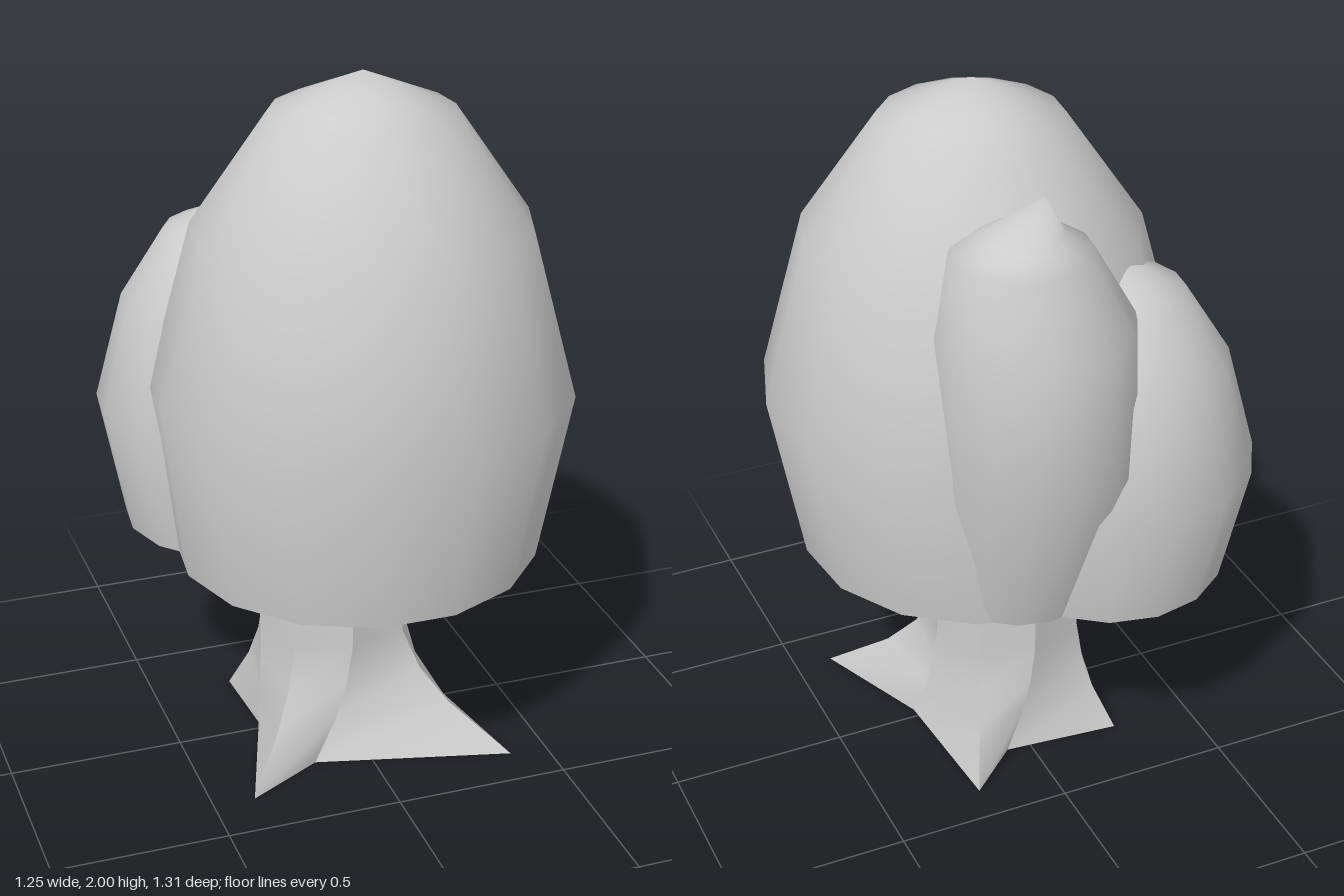
import * as THREE from 'three';
import { mergeVertices } from 'three/addons/utils/BufferGeometryUtils.js';

const SIDES = 15;

// Upright egg with a fixed centre; rings are [y, radius, centreX, centreZ]
const egg = (cx, cz, profile) => profile.map(([y, r]) => [y, r, cx, cz]);

const CLUMPS = {
  mainFoliage: [
    [0.61, 0.515, 0.022, 0.06],
    ...egg(0.035, 0.07, [[1.11, 0.593], [1.58, 0.467], [1.89, 0.255], [2, 0]]),
  ],
  lowerFoliage: [
    [0.61, 0.33, -0.235, -0.25],
    ...egg(-0.245, -0.27, [[0.97, 0.387], [1.28, 0.305], [1.48, 0.18], [1.56, 0]]),
  ],
  // Rear clump leaning outward, with a blunt sloping top
  rearFoliage: [
    [0.61, 0.23, 0.04, -0.25],
    [1.1, 0.287, 0.04, -0.365],
    [1.48, 0.277, 0.04, -0.335],
    [1.69, 0.19, 0.07, -0.33],
    [1.765, 0.1, 0.08, -0.38],
    [1.8, 0, -0.02, -0.28],
  ],
};

// Is point p within the shell described by rings?
function inside(p, rings) {
  for (let i = 0; i < rings.length - 1; i++) {
    const a = rings[i], b = rings[i + 1];
    if (p.y < a[0] - 1e-4 || p.y > b[0]) continue;
    const t = (p.y - a[0]) / (b[0] - a[0]);
    const [, r, cx, cz] = a.map((v, k) => THREE.MathUtils.lerp(v, b[k], t));
    return Math.hypot(p.x - cx, p.z - cz) < r * 0.978;
  }
  return false;
}

// Smooth 15-sided lathe whose rings are shifted to their own centres
function shell(rings) {
  let geo = new THREE.LatheGeometry(rings.map(([y, r]) => new THREE.Vector2(r, y)), SIDES, Math.PI / SIDES);
  const pos = geo.attributes.position;
  for (let i = 0; i < pos.count; i++) {
    const [, , cx, cz] = rings[i % rings.length];
    pos.setX(i, pos.getX(i) + cx);
    pos.setZ(i, pos.getZ(i) + cz);
  }
  geo.deleteAttribute('normal');
  geo.deleteAttribute('uv');
  geo = mergeVertices(geo, 1e-4);
  geo.computeVertexNormals();
  return geo.toNonIndexed();
}

// Open-bottomed clump without the faces hidden inside its neighbours
function foliage(name, material) {
  const others = Object.keys(CLUMPS).filter((k) => k !== name).map((k) => CLUMPS[k]);
  const geo = shell(CLUMPS[name]);
  const points = [], normals = [];
  const corner = (i) => ({
    p: new THREE.Vector3().fromBufferAttribute(geo.attributes.position, i),
    n: new THREE.Vector3().fromBufferAttribute(geo.attributes.normal, i),
  });
  const middle = (a, b) => ({ p: a.p.clone().lerp(b.p, 0.5), n: a.n.clone().lerp(b.n, 0.5) });

  // Split faces along the seams and drop the buried pieces
  function clip(a, b, c, depth) {
    const tri = [a, b, c];
    const buried = tri.filter(({ p }) => others.some((o) => inside(p, o))).length;
    if (depth === 4 || (depth >= 2 && buried === 0)) {
      if (buried === 3) return;
      for (const { p, n } of tri) {
        points.push(p.x, p.y, p.z);
        normals.push(n.x, n.y, n.z);
      }
      return;
    }
    const ab = middle(a, b), bc = middle(b, c), ca = middle(c, a);
    clip(a, ab, ca, depth + 1);
    clip(ab, b, bc, depth + 1);
    clip(ca, bc, c, depth + 1);
    clip(ab, bc, ca, depth + 1);
  }
  for (let i = 0; i < geo.attributes.position.count; i += 3) {
    clip(corner(i), corner(i + 1), corner(i + 2), 0);
  }

  const out = new THREE.BufferGeometry();
  out.setAttribute('position', new THREE.Float32BufferAttribute(points, 3));
  out.setAttribute('normal', new THREE.Float32BufferAttribute(normals, 3));
  out.normalizeNormals();
  const mesh = new THREE.Mesh(out, material);
  mesh.name = name;
  return mesh;
}

// Hollow eight-sided trunk whose alternate corners flare into four pointed roots
function trunk(material) {
  const foot = [[0.25, 0.03], [0.39, 0.37], [-0.16, 0.23], [-0.38, 0.35],
    [-0.25, -0.03], [-0.265, -0.285], [0.07, -0.255], [0.22, -0.39]];
  // Levels are [height, blend from column to foot]
  const levels = [[0, 1], [0.125, 0.46], [0.22, 0.2], [0.33, 0.05], [0.85, 0]];
  const verts = [], index = [];
  for (let side = 0; side < 8; side++) {
    // Each side has its own corners, so the upright edges stay sharp
    const base = verts.length / 3;
    for (const [y, t] of levels) {
      for (const i of [side, (side + 1) % 8]) {
        const a = (i * Math.PI) / 4;
        verts.push(
          THREE.MathUtils.lerp(-0.025 + 0.215 * Math.cos(a), foot[i][0], t), y,
          THREE.MathUtils.lerp(-0.03 + 0.215 * Math.sin(a), foot[i][1], t));
      }
    }
    for (let l = 0; l < levels.length - 1; l++) {
      const a = base + l * 2;
      index.push(a, a + 2, a + 1, a + 1, a + 2, a + 3);
    }
  }
  const geo = new THREE.BufferGeometry();
  geo.setAttribute('position', new THREE.Float32BufferAttribute(verts, 3));
  geo.setIndex(index);
  geo.computeVertexNormals();
  const mesh = new THREE.Mesh(geo, material);
  mesh.name = 'trunk';
  return mesh;
}

export function createModel() {
  const group = new THREE.Group();
  group.name = 'tree';
  const material = new THREE.MeshStandardMaterial({ color: 0xcccccc, side: THREE.DoubleSide });
  group.add(trunk(material));
  for (const name of Object.keys(CLUMPS)) group.add(foliage(name, material));
  return group;
}
